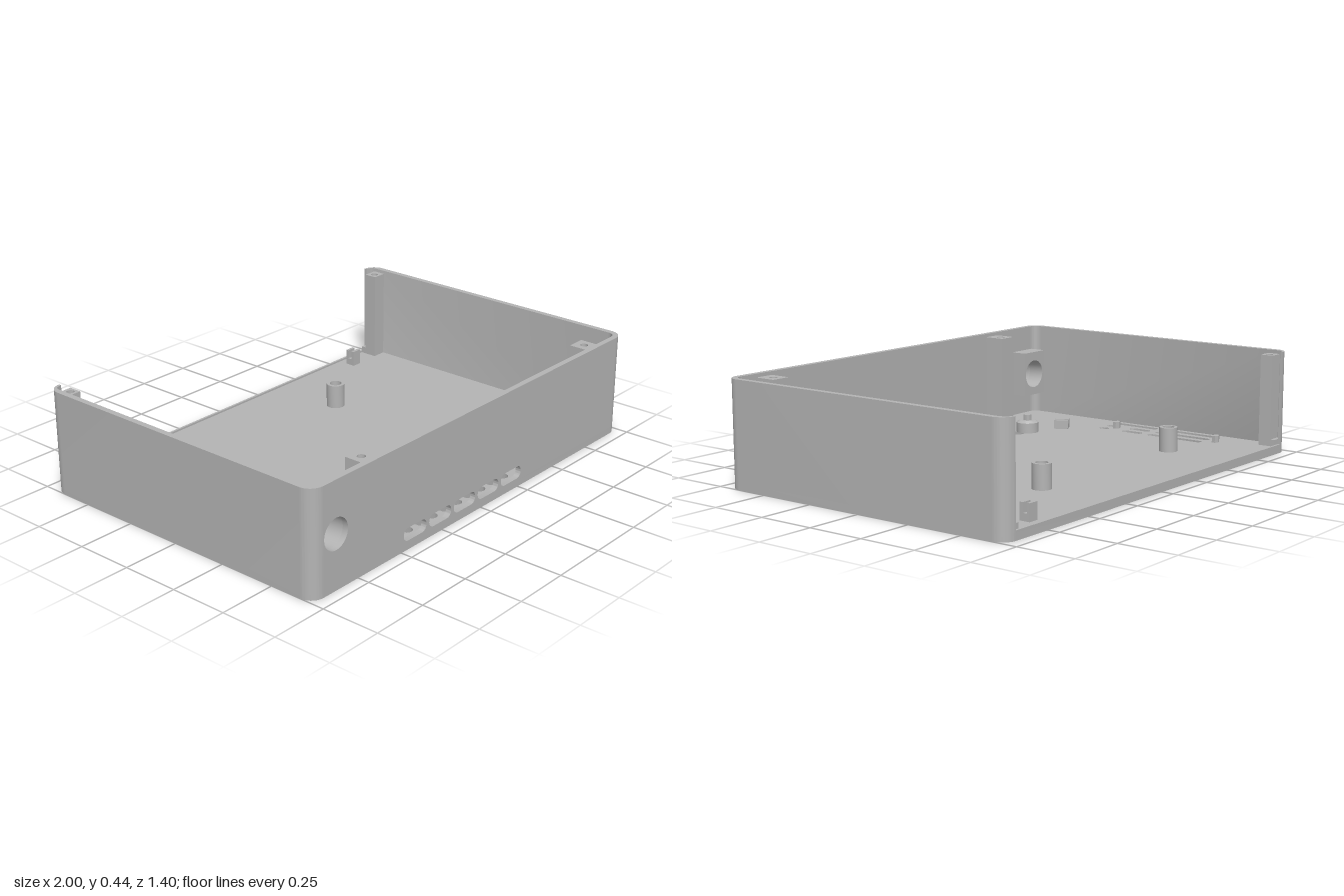
import * as THREE from 'three';
import { toCreasedNormals } from 'three/addons/utils/BufferGeometryUtils.js';

const grey = new THREE.MeshStandardMaterial({ color: 0xb4b4b4 });
const FLOOR = 0.03, TOP = 0.445, PI = Math.PI;

// Rounded rectangle outline centred on (cx, cy)
function roundRect(Kind, cx, cy, w, h, r) {
  const p = new Kind(), x = w / 2 - r, y = h / 2 - r;
  p.absarc(cx + x, cy + y, r, 0, PI / 2);
  p.absarc(cx - x, cy + y, r, PI / 2, PI);
  p.absarc(cx - x, cy - y, r, PI, PI * 1.5);
  p.absarc(cx + x, cy - y, r, PI * 1.5, PI * 2);
  p.closePath();
  return p;
}

function rect(x0, y0, x1, y1) {
  return new THREE.Shape([[x0, y0], [x1, y0], [x1, y1], [x0, y1]].map(p => new THREE.Vector2(...p)));
}

function circle(Kind, x, y, r) {
  return new Kind().absarc(x, y, r, 0, PI * 2);
}

const extrude = (shape, depth) => toCreasedNormals(
  new THREE.ExtrudeGeometry(shape, { depth, bevelEnabled: false, curveSegments: 12 }), 0.6);

export function createModel() {
  const model = new THREE.Group();

  function add(name, geometry) {
    const mesh = new THREE.Mesh(geometry, grey);
    mesh.name = name;
    model.add(mesh);
    return mesh;
  }
  // Plan shapes are drawn in (x, -z) and raised from y0 to y1
  function raise(name, shape, y0, y1) {
    return add(name, extrude(shape, y1 - y0).rotateX(-PI / 2).translate(0, y0, 0));
  }
  // Box from its lower to its upper corner
  function block(name, x0, y0, z0, x1, y1, z1) {
    return add(name, new THREE.BoxGeometry(x1 - x0, y1 - y0, z1 - z0)
      .translate((x0 + x1) / 2, (y0 + y1) / 2, (z0 + z1) / 2));
  }

  // Floor with ventilation slots
  const floor = roundRect(THREE.Shape, 0, 0, 2, 1.4, 0.06);
  const slot = (x, z0, z1, w) => floor.holes.push(
    roundRect(THREE.Path, x, -(z0 + z1) / 2, w, z1 - z0, w / 2 - 0.0005));
  for (let i = 0; i < 10; i++) slot(-0.463 + i * 0.0777, 0.355, 0.655, 0.052);
  [-0.935, -0.87, -0.805].forEach((x, i) => {
    slot(x, -0.38, -0.1, 0.034);
    if (i === 0) slot(x, -0.065, 0.165, 0.034);
    else {
      slot(x, -0.065, 0.04, 0.034);
      slot(x, 0.12, 0.165, 0.034);
    }
  });
  raise('floor', floor, 0, FLOOR);
  block('rearLip', -0.94, FLOOR, -0.7, 0.94, 0.038, -0.69);

  // Front wall with a round port and a row of vents
  const front = rect(-0.94, FLOOR, 0.94, TOP);
  front.holes.push(circle(THREE.Path, -0.872, 0.23, 0.065));
  for (let i = 0; i < 5; i++) {
    front.holes.push(roundRect(THREE.Path, -0.418 + i * 0.1545, 0.065, 0.138, 0.054, 0.0265));
  }
  add('frontWall', extrude(front, 0.025).translate(0, 0, 0.675));

  // Port housing behind the round hole
  const housing = rect(-0.95, 0.13, -0.8, 0.335);
  housing.holes.push(circle(THREE.Path, -0.872, 0.23, 0.065));
  add('portHousing', extrude(housing, 0.075).translate(0, 0, 0.6));

  // Side walls, curling in at the open back to hold a rear panel
  const side = new THREE.Shape();
  side.moveTo(0.94, -0.7);
  side.absarc(0.94, -0.64, 0.06, -PI / 2, 0);
  side.lineTo(1, 0.64);
  side.absarc(0.94, 0.64, 0.06, 0, PI / 2);
  side.lineTo(0.94, 0.689);
  side.lineTo(0.965, 0.683);
  side.lineTo(0.975, 0.668);
  side.lineTo(0.975, -0.64);
  side.absarc(0.94, -0.64, 0.035, 0, -PI / 2, true);
  side.closePath();

  const rearPost = rect(0.91, 0.61, 0.976, 0.668);
  rearPost.holes.push(circle(THREE.Path, 0.938, 0.637, 0.016));
  for (const s of [1, -1]) {
    const label = s > 0 ? 'left' : 'right';
    raise(label + 'Wall', side, FLOOR, TOP).scale.x = s;
    raise(label + 'RearPost', rearPost, FLOOR, 0.43).scale.x = s;
    block(label + 'GrooveStop', 0.91, FLOOR, -0.688, 0.97, 0.06, -0.668).scale.x = s;
  }

  // Front screw posts
  for (const x of [-0.643, 0.815]) {
    const post = rect(x - 0.042, -0.676, x + 0.042, -0.58);
    post.holes.push(circle(THREE.Path, x, -0.622, 0.017));
    raise('frontPost', post, FLOOR, 0.43);
  }

  // Hollow rear standoffs
  for (const x of [-0.56, 0.345]) {
    const tube = circle(THREE.Shape, x, 0.365, 0.04);
    tube.holes.push(circle(THREE.Path, x, 0.365, 0.026));
    raise('rearStandoff', tube, FLOOR, 0.135);
  }

  // Stepped front standoffs with locating pins
  const profile = [[0.05, 0], [0.05, 0.045], [0.037, 0.055], [0.019, 0.055], [0.019, 0.08], [0, 0.08]]
    .map(p => new THREE.Vector2(...p));
  for (const x of [-0.527, 0.648]) {
    add('frontStandoff', toCreasedNormals(new THREE.LatheGeometry(profile, 24), 0.6)
      .translate(x, FLOOR, 0.375));
  }

  // Upright bracket
  block('bracketPlate', 0.585, FLOOR, 0.505, 0.71, 0.225, 0.535);
  block('bracketRib', 0.6, FLOOR, 0.535, 0.697, 0.21, 0.563);

  // Small pegs beside the side vents
  for (const z of [-0.43, 0.1]) {
    add('peg', toCreasedNormals(new THREE.CylinderGeometry(0.022, 0.022, 0.03, 6), 0.3)
      .scale(1, 1, 0.7).translate(-0.845, FLOOR + 0.015, z));
  }

  // Rear cable clip: a base with two jaws
  block('clipBase', 0.75, FLOOR, -0.65, 0.795, 0.06, -0.605);
  block('clipJaw', 0.75, 0.06, -0.65, 0.795, 0.1, -0.638);
  block('clipJaw', 0.75, 0.06, -0.62, 0.795, 0.1, -0.605);

  // Angled clip made of three ribs
  const clip = new THREE.Group();
  clip.name = 'angledClip';
  [0.04, 0.02, 0.04].forEach((h, i) => {
    const rib = new THREE.Mesh(new THREE.BoxGeometry(0.018, h, 0.065), grey);
    rib.name = 'clipRib';
    rib.position.set((i - 1) * 0.018, h / 2, 0);
    clip.add(rib);
  });
  clip.position.set(-0.69, FLOOR, 0.302);
  clip.rotation.y = 0.5;
  model.add(clip);

  return model;
}
